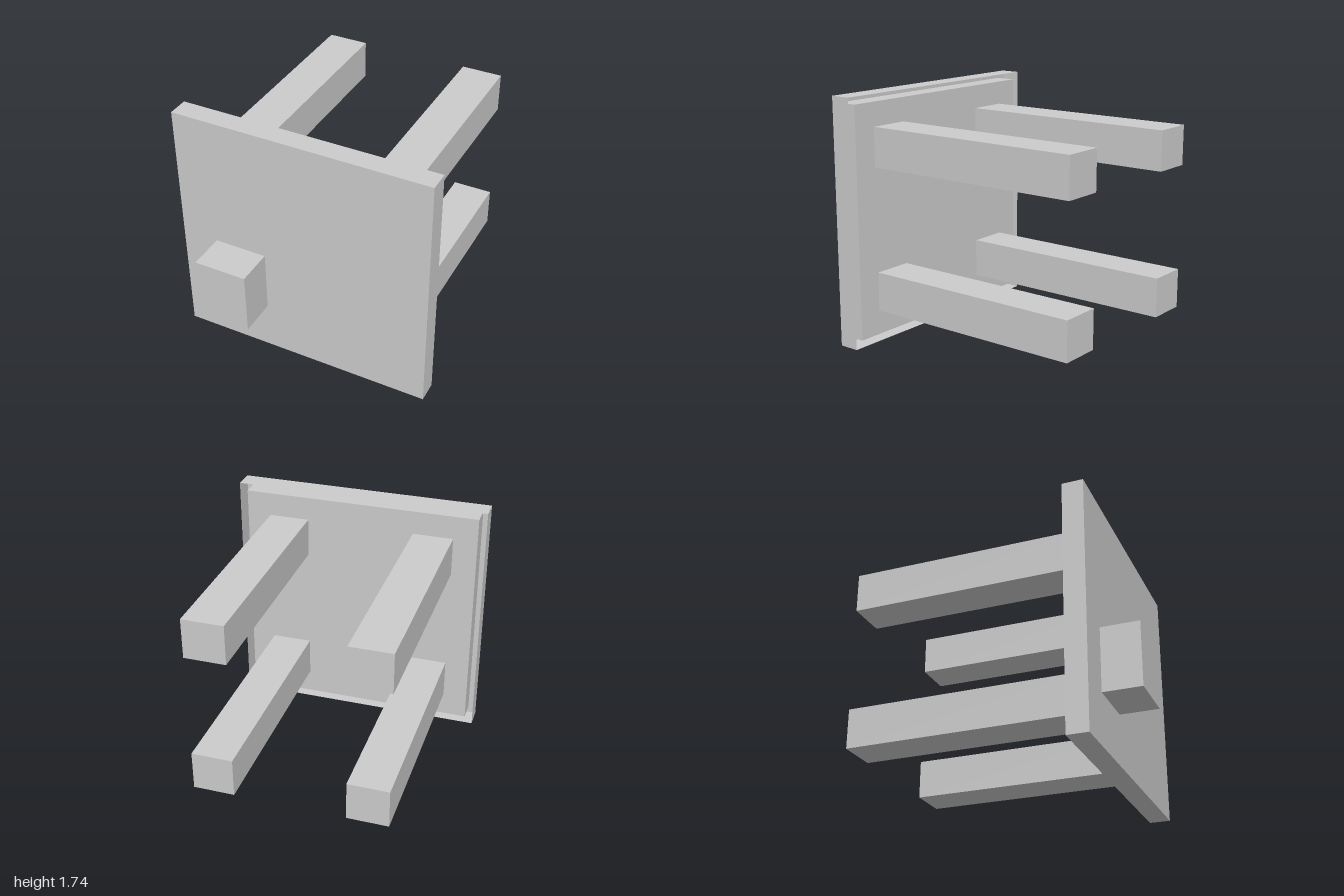
import * as THREE from 'three';

const material = new THREE.MeshStandardMaterial({ color: 0xcccccc, flatShading: true, side: THREE.DoubleSide });

// Box between two corners; skip lists omitted faces (0..5 = +x -x +y -y +z -z)
function box(name, [x0, y0, z0], [x1, y1, z1], skip = []) {
  const geometry = new THREE.BoxGeometry(x1 - x0, y1 - y0, z1 - z0);
  const index = Array.from(geometry.index.array).filter((_, i) => !skip.includes(Math.floor(i / 6)));
  geometry.setIndex(index);
  geometry.clearGroups();
  geometry.translate((x0 + x1) / 2, (y0 + y1) / 2, (z0 + z1) / 2);
  const mesh = new THREE.Mesh(geometry, material);
  mesh.name = name;
  return mesh;
}

export function createModel() {
  const model = new THREE.Group();
  model.name = 'panelWithPosts';
  const back = 0.592, front = 0.738;

  // Thin front shell, open at the back
  model.add(box('frontShell', [-0.905, 0, back], [0.905, 1.74, front], [5]));

  // Inner panel sitting in the shell with a narrow gap all round
  model.add(box('innerPanel', [-0.848, 0.052, back], [0.848, 1.688, front], [4]));

  // Knob block on the front
  model.add(box('knob', [-0.645, 0.355, front], [-0.272, 0.798, 1], [5]));

  // Four posts reaching backwards
  for (const [side, x] of [['Right', -0.675], ['Left', 0.388]]) {
    for (const [level, y] of [['lower', 0.224], ['upper', 1.242]]) {
      model.add(box(`${level}${side}Post`, [x, y, -1], [x + 0.287, y + 0.277, back], [4]));
    }
  }
  return model;
}
